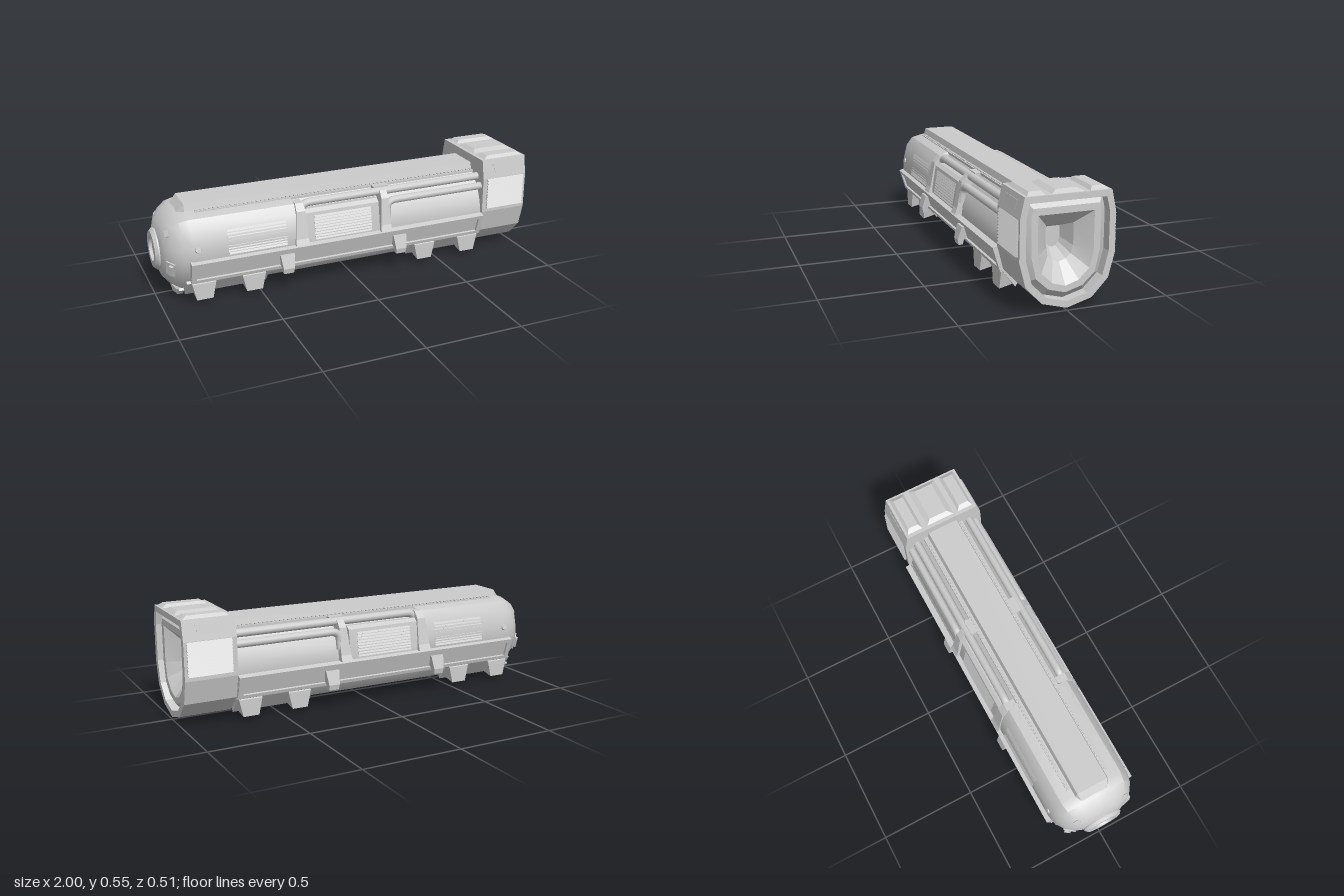
import * as THREE from 'three';
import { toCreasedNormals, mergeGeometries } from 'three/addons/utils/BufferGeometryUtils.js';

const material = new THREE.MeshStandardMaterial({ color: 0xcccccc });

// Lofts symmetric rings along x. Each section is [x, half profile of (z, y) from top to bottom].
function loft(sections) {
  const rings = sections.map(([x, half]) => {
    const mirrored = half.filter(p => p[0] > 0).reverse().map(([z, y]) => [-z, y]);
    return [...half, ...mirrored].map(([z, y]) => new THREE.Vector3(x, y, z));
  });
  const n = rings[0].length, pos = [];
  const tri = (...v) => v.forEach(p => pos.push(p.x, p.y, p.z));
  const cap = (ring, flip) => {
    const c = ring.reduce((s, p) => s.add(p), new THREE.Vector3()).divideScalar(n);
    ring.forEach((p, j) => {
      const q = ring[(j + 1) % n];
      flip ? tri(c, q, p) : tri(c, p, q);
    });
  };
  for (let i = 0; i < rings.length - 1; i++) {
    for (let j = 0; j < n; j++) {
      const k = (j + 1) % n, a = rings[i], b = rings[i + 1];
      tri(a[j], a[k], b[k]);
      tri(a[j], b[k], b[j]);
    }
  }
  cap(rings[0], true);
  cap(rings[rings.length - 1], false);
  const geo = new THREE.BufferGeometry();
  geo.setAttribute('position', new THREE.Float32BufferAttribute(pos, 3));
  return geo;
}

// Extrudes a (z, y) polygon from x0 to x1.
function prism(points, x0, x1) {
  const shape = new THREE.Shape(points.map(([z, y]) => new THREE.Vector2(-z, y)));
  return new THREE.ExtrudeGeometry(shape, { depth: x1 - x0, bevelEnabled: false })
    .rotateY(Math.PI / 2).translate(x0, 0, 0);
}

// Narrows a geometry in x towards the height y1.
function taper(geo, cx, y0, y1, amount) {
  const p = geo.attributes.position;
  for (let i = 0; i < p.count; i++) {
    const t = THREE.MathUtils.clamp((p.getY(i) - y0) / (y1 - y0), 0, 1);
    p.setX(i, cx + (p.getX(i) - cx) * (1 - t * (1 - amount)));
  }
  return geo;
}

function mirrorZ(geo) {
  const g = geo.index ? geo.toNonIndexed() : geo.clone();
  const p = g.attributes.position, a = new THREE.Vector3(), b = new THREE.Vector3();
  for (let i = 0; i < p.count; i += 3) {
    p.setZ(i, -p.getZ(i));
    a.fromBufferAttribute(p, i + 1);
    b.fromBufferAttribute(p, i + 2);
    p.setXYZ(i + 1, b.x, b.y, -b.z);
    p.setXYZ(i + 2, a.x, a.y, -a.z);
  }
  return g;
}

// Saw-toothed louvre strip running down from p0 to p1.
function louvre([z0, y0], [z1, y1], count, depth, x0, x1) {
  const pts = [[z0 - 0.02, y0]];
  for (let i = 0; i < count; i++) {
    const t = i / count, u = (i + 0.9) / count;
    pts.push([z0 + (z1 - z0) * t, y0 + (y1 - y0) * t]);
    pts.push([z0 + (z1 - z0) * u + depth, y0 + (y1 - y0) * u]);
  }
  pts.push([z1, y1], [z1 - 0.02, y1]);
  return prism(pts, x0, x1);
}

// Straight pipe along x whose left end bends down into a rib.
function pipe(x, y, z, radius) {
  const V = (a, b, c) => new THREE.Vector3(a, b, c), path = new THREE.CurvePath();
  path.add(new THREE.LineCurve3(V(x, y - 0.09, z + 0.012), V(x, y - 0.045, z + 0.006)));
  path.add(new THREE.QuadraticBezierCurve3(V(x, y - 0.045, z + 0.006), V(x, y, z), V(x + 0.05, y, z)));
  path.add(new THREE.LineCurve3(V(x + 0.05, y, z), V(0.76, y, z)));
  return new THREE.TubeGeometry(path, 70, radius, 10);
}

export function createModel() {
  const model = new THREE.Group();
  const add = (name, geo, crease = 0.5) => {
    const mesh = new THREE.Mesh(toCreasedNormals(geo, crease), material);
    mesh.name = name;
    model.add(mesh);
  };
  const addBoth = (name, geo, crease) => {
    add(name + 'Left', geo, crease);
    add(name + 'Right', mirrorZ(geo), crease);
  };

  // Hull with rounded nose, stepping in behind the first rib
  const full = [[0, .457], [.1, .452], [.165, .435], [.2, .39], [.22, .31], [.226, .24], [.195, .14], [.12, .052], [0, .015]];
  const core = [[0, .457], [.1, .452], [.125, .42], [.17, .365], [.2, .3], [.208, .24], [.193, .14], [.12, .052], [0, .015]];
  const nose = [[-.978, .46], [-.96, .66], [-.93, .83], [-.89, .95], [-.84, 1]]
    .map(([x, s]) => [x, full.map(([z, y]) => [z * s, .245 + (y - .245) * s])]);
  add('hull', loft([...nose, [-.31, full], [-.29, core], [.76, core]]), .6);

  // Nose hub, clamps and lower collar
  const hub = [[.105, .94], [.105, .985], [.092, 1], [.062, 1], [.055, .985], [0, .985]].map(p => new THREE.Vector2(...p));
  add('noseHub', new THREE.LatheGeometry(hub, 16).rotateZ(Math.PI / 2).translate(0, .245, 0));
  for (const [angle, width] of [[.75, .055], [-.3, .075]]) {
    const clamp = mergeGeometries([
      new THREE.BoxGeometry(.05, .024, width),
      new THREE.BoxGeometry(.022, .04, width - .02).translate(.01, .004, 0),
    ]);
    clamp.rotateZ(.85).translate(-.938, .162, 0).rotateX(Math.PI / 2 - angle).translate(0, .245, 0);
    addBoth('noseClamp', clamp);
  }
  addBoth('noseCollar', prism([[0, 0], [.115, .032], [.15, .065], [.14, .075], [.1, .05], [0, .03]], -.91, -.885));

  // Top ridge with toothed strips beside it
  const ridge = (y, w) => [[w - .012, y], [w, .44], [w - .02, .43]];
  add('topRidge', loft([[-.88, ridge(.445, .075)], [-.845, ridge(.485, .095)], [.75, ridge(.485, .095)]]), .2);
  const teeth = [new THREE.BoxGeometry(1.54, .012, .02).translate(-.03, .446, .105)];
  for (let i = 0; i < 70; i++) teeth.push(new THREE.BoxGeometry(.011, .008, .012).translate(-.79 + i * .022, .453, .103));
  addBoth('toothedStrip', mergeGeometries(teeth));

  // Engine head: outer shell, grooved rim, proud inner plate and two-stage funnel
  const outer = [[.204, .53], [.225, .432], [.227, .245], [.197, .128], [.118, .045], [0, .012]];
  const rim = [[.18, .5], [.196, .432], [.196, .25], [.168, .141], [.097, .07], [0, .044]];
  const seat = [[.157, .47], [.165, .43], [.163, .257], [.14, .154], [.082, .1], [0, .077]];
  const mouth = [[.133, .438], [.133, .43], [.133, .253], [.114, .177], [.064, .127], [0, .107]];
  const throat = [[.066, .37], [.067, .36], [.067, .265], [.056, .228], [.032, .207], [0, .197]];
  const end = [[.037, .338], [.037, .33], [.037, .285], [.03, .262], [.016, .246], [0, .24]];
  add('engineHead', loft([[.74, outer], [1, outer], [1, rim], [.95, rim], [.98, seat], [.98, mouth], [.91, throat], [.83, end]]), .2);
  add('headTopPlate', taper(prism([[-.077, .53], [-.05, .545], [.05, .545], [.077, .53]], .76, .99), .875, .53, .545, .8), .1);
  addBoth('headCornerPlate', taper(prism([[.19, .53], [.175, .545], [.12, .545], [.105, .53]], .76, .99), .875, .53, .545, .8), .1);
  addBoth('headVent', louvre([.225, .43], [.227, .265], 11, .011, .765, .985), .1);
  addBoth('headSlot', taper(prism([[.19, .505], [.211, .505], [.2205, .46], [.2, .455]], .8, .94), .87, .505, .455, .75), .1);

  // Ribs, side panels and grilles
  const ribShape = [[.12, .44], [.175, .44], [.205, .405], [.233, .27], [.246, .24], [.19, .235], [.14, .37]];
  for (const [x, w] of [[-.295, .07], [.165, .06]]) {
    addBoth('rib', taper(prism(ribShape, x - w / 2, x + w / 2), x + .015, .24, .44, .6), .2);
  }
  addBoth('middlePanel', prism([[.14, .4], [.18, .405], [.2, .39], [.223, .26], [.223, .24], [.18, .24]], -.265, .135), .2);
  addBoth('frontGrille', louvre([.203, .375], [.225, .25], 9, .005, -.67, -.37), .1);
  addBoth('middleGrille', louvre([.202, .375], [.223, .25], 9, .005, -.22, .09), .1);
  addBoth('sideKnob', new THREE.CylinderGeometry(.014, .018, .012, 10).rotateX(Math.PI / 2 - .25).translate(-.82, .3, .221));

  // Pipes and their clamps
  addBoth('upperPipe', pipe(-.275, .43, .155, .021), .8);
  addBoth('lowerPipe', pipe(.185, .387, .192, .02), .8);
  addBoth('pipeClamp', new THREE.BoxGeometry(.085, .03, .03).translate(.175, .437, .13));

  // Framed side rails
  const railBox = (w, h, d, x, y, z) =>
    new THREE.BoxGeometry(w, h, d).translate(x, y, z).rotateX(.3).translate(0, .182, .212);
  addBoth('sideRail', mergeGeometries([
    railBox(1.6, .115, .02, -.06, 0, -.002),
    railBox(1.6, .02, .03, -.06, .05, .004),
    railBox(1.6, .018, .03, -.06, -.05, .004),
    railBox(.025, .115, .03, -.847, 0, .004),
    railBox(.025, .115, .03, .727, 0, .004),
  ]));

  // Clips over the rails
  const clipShape = [[.215, .2], [.238, .2], [.257, .132], [.252, .105], [.23, .105], [.223, .135], [.19, .15]];
  for (const x of [-.375, .245]) {
    addBoth('railClip', taper(prism(clipShape, x - .037, x + .037), x, .2, .105, .7), .2);
  }

  // Lower mounting plates with feet
  const plateShape = [[.2, .118], [.188, .128], [.125, .055], [.137, .036]];
  const footShape = [[.19, .118], [.203, .11], [.205, .025], [.147, .04], [.138, .055]];
  for (const [x0, x1, feet] of [[-.88, -.46, [-.795, -.54]], [.33, .74, [.41, .67]]]) {
    addBoth('mountingPlate', prism(plateShape, x0, x1), .2);
    for (const x of feet) addBoth('foot', taper(prism(footShape, x - .06, x + .06), x, .11, .025, .68), .2);
  }
  return model;
}
